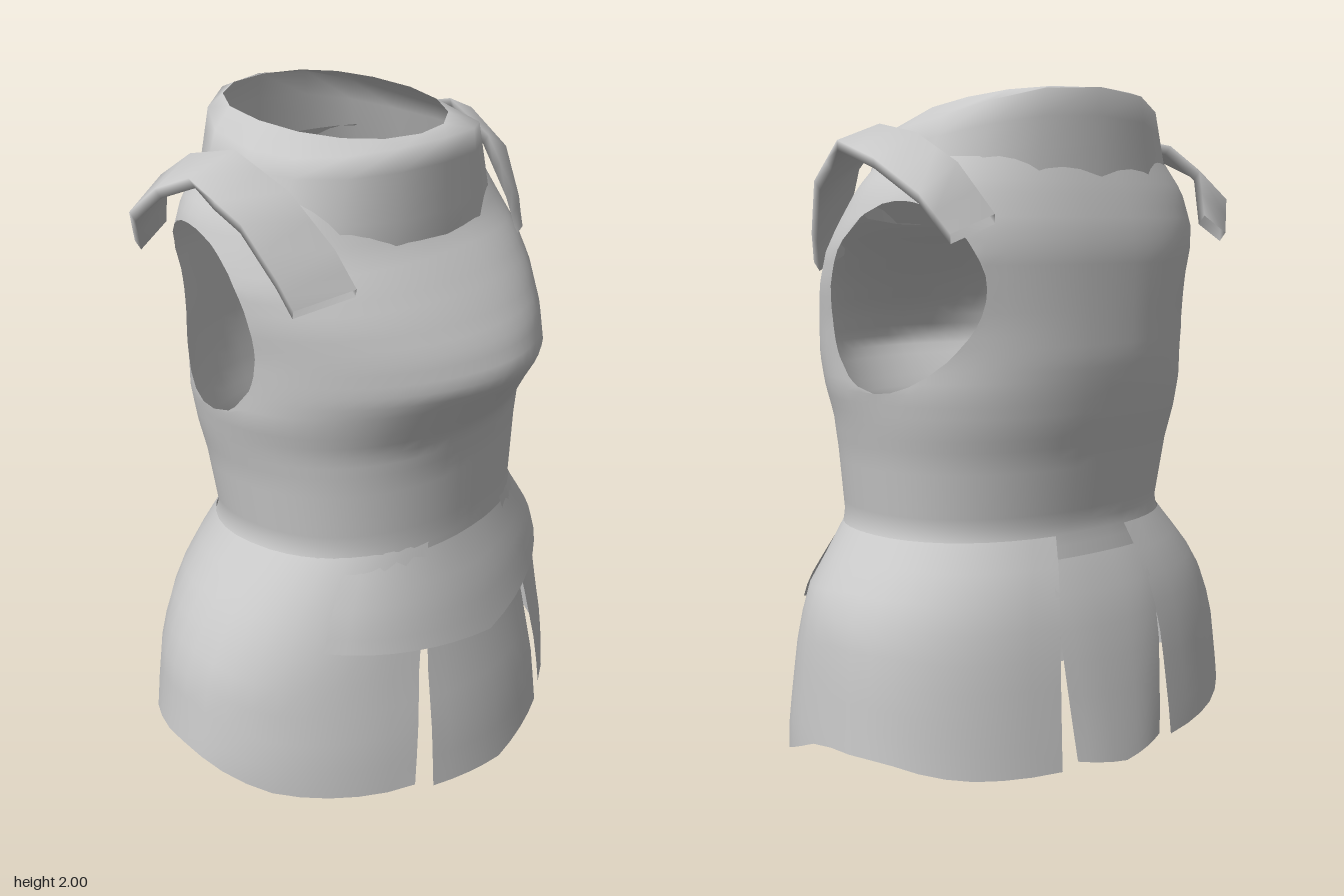
import * as THREE from 'three';
import { mergeVertices } from 'three/addons/utils/BufferGeometryUtils.js';

const armour = new THREE.MeshStandardMaterial({ color: 0xc8c8c8, side: THREE.DoubleSide });
armour.name = 'grey armour';

// Piecewise-linear lookup in rows [key, a, b, ...] with ascending keys
function lookup(rows, k) {
  if (k <= rows[0][0]) return rows[0].slice(1);
  for (let i = 1; i < rows.length; i++) {
    const a = rows[i - 1], b = rows[i];
    if (k <= b[0]) {
      const t = (k - a[0]) / (b[0] - a[0]);
      return a.slice(1).map((v, j) => v + (b[j + 1] - v) * t);
    }
  }
  return rows[rows.length - 1].slice(1);
}

const mix = (a, b, t) => a + (b - a) * t;
const BACK_N = 2.3;

// Point of a rounded section; angle 0 is the front, PI the back.
// n is the squareness of the front half; the back half uses BACK_N.
function ring([cx, hw, front, back, n], angle, y, offset = 0) {
  const c = Math.cos(angle), e = 2 / (c > 0 ? n : BACK_N);
  const p = v => Math.sign(v) * Math.abs(v) ** e;
  return [cx + (hw + offset) * p(Math.sin(angle)), y,
    (front + back) / 2 + ((front - back) / 2 + offset) * p(c)];
}

// Surface from fn(u, v); skip removes cells whose corners are all inside a hole
function patch(name, nu, nv, fn, skip) {
  const pos = [], idx = [], cut = [];
  for (let j = 0; j <= nv; j++) for (let i = 0; i <= nu; i++) {
    const p = fn(i / nu, j / nv);
    cut.push(skip ? skip(p) : false);
    pos.push(...p);
  }
  const tri = (...t) => { if (!t.every(k => cut[k])) idx.push(...t); };
  for (let j = 0; j < nv; j++) for (let i = 0; i < nu; i++) {
    const a = j * (nu + 1) + i, b = a + 1, c = a + nu + 1, d = c + 1;
    tri(a, b, d);
    tri(a, d, c);
  }
  let geo = new THREE.BufferGeometry();
  geo.setAttribute('position', new THREE.Float32BufferAttribute(pos, 3));
  geo.setIndex(idx);
  geo = mergeVertices(geo, 1e-4);
  geo.computeVertexNormals();
  const mesh = new THREE.Mesh(geo, armour);
  mesh.name = name;
  return mesh;
}

// Sections: height, centre x, half width, front z, back z, front squareness
const TORSO = [
  [0.5, 0.03, 0.66, 0.435, -0.43, 2], [0.7, 0.04, 0.54, 0.4, -0.39, 2.1],
  [0.8, 0.04, 0.495, 0.395, -0.37, 2.2], [1.0, 0.04, 0.52, 0.4, -0.4, 2.2],
  [1.1, 0.04, 0.54, 0.415, -0.425, 2.1], [1.19, 0.04, 0.56, 0.475, -0.44, 1.9],
  [1.27, 0.04, 0.56, 0.53, -0.45, 1.8], [1.37, 0.04, 0.565, 0.49, -0.45, 1.95],
  [1.47, 0.04, 0.58, 0.42, -0.45, 2.15], [1.56, 0.04, 0.585, 0.345, -0.45, 2.3],
  [1.63, 0.04, 0.57, 0.28, -0.44, 2.4], [1.73, 0.035, 0.53, 0.22, -0.41, 2.4],
  [1.81, 0.035, 0.46, 0.18, -0.38, 2.4],
];
const SKIRT = [
  [0, 0, 0.735, 0.53, -0.52, 2], [0.22, 0, 0.735, 0.505, -0.5, 2],
  [0.45, 0.01, 0.71, 0.46, -0.475, 2], [0.6, 0.04, 0.66, 0.435, -0.45, 2],
  [0.7, 0.04, 0.575, 0.41, -0.415, 2.1], [0.77, 0.04, 0.505, 0.395, -0.38, 2.2],
];
// Hem height along z
const HEM = [[-0.5, 0.15], [-0.4, 0.17], [-0.25, 0.22], [-0.03, 0.225], [0.2, 0.13], [0.43, 0.07]];

// Skirt section, with front and back middles kept in line with the torso
function skirt(angle, y, offset = 0) {
  const s = lookup(SKIRT, y);
  s[0] = mix(s[0], 0.04, Math.abs(Math.cos(angle)));
  return ring(s, angle, y, offset);
}

function makeTorso() {
  // Armhole centre leans: lower at the front, higher at the back
  const hole = { z: -0.15, ry: 0.25, rz: 0.22 };
  const holeY = z => 1.44 - 0.22 * (z - hole.z);
  // Points inside an armhole slide out to its rim, staying on the surface
  const skip = p => {
    const dy = (p[1] - holeY(p[2])) / hole.ry, dz = (p[2] - hole.z) / hole.rz;
    const r = Math.hypot(dy, dz);
    if (r >= 1 || Math.abs(p[0] - 0.04) < 0.3) return false;
    const k = 1 / Math.max(r, 0.01), side = Math.sign(p[0] - 0.04);
    p[2] = hole.z + dz * k * hole.rz;
    p[1] = holeY(p[2]) + dy * k * hole.ry;
    const [cx, hw, f, b, frontN] = lookup(TORSO, p[1]);
    const q = (p[2] - (f + b) / 2) / ((f - b) / 2), n = q > 0 ? frontN : BACK_N;
    p[0] = cx + side * hw * (1 - Math.min(1, Math.abs(q)) ** n) ** (1 / n);
    return true;
  };
  return patch('torso', 56, 42, (u, v) => {
    const y = mix(0.5, 1.81, v);
    return ring(lookup(TORSO, y), Math.PI * (1 + 2 * u), y);
  }, skip);
}

// Standing collar: flared wall, then a bevelled lip around the neck opening
function makeCollar() {
  const profile = [
    [0, 0.035, 0.5, 0.29, -0.4, 2.1], [0.8, 0.035, 0.42, 0.28, -0.39, 2.1],
    [1, 0.035, 0.34, 0.195, -0.375, 2.1],
  ];
  return patch('collar', 16, 5, (u, v) => {
    const a = Math.PI * (1 + 2 * u), c = Math.cos(a);
    const top = 1.947 - 0.053 * c, low = 1.7 - 0.07 * Math.max(0, c);
    const edge = top - 0.06 * Math.sin(a) ** 2;
    const y = v < 0.8 ? mix(low, edge, v / 0.8) : mix(edge, top, (v - 0.8) / 0.2);
    return ring(lookup(profile, v), a, y);
  });
}

// Raised band over a shoulder: inner and outer edge from front to back
function makeStrap(side) {
  const edges = [
    [0.4, 1.57, 0.29, 0.545, 1.53, 0.2], [0.42, 1.67, 0.235, 0.57, 1.61, 0.17],
    [0.46, 1.81, 0.12, 0.61, 1.75, 0.09], [0.485, 1.9, -0.04, 0.635, 1.85, -0.06],
    [0.485, 1.87, -0.2, 0.62, 1.8, -0.2], [0.46, 1.79, -0.34, 0.585, 1.71, -0.34],
    [0.4, 1.66, -0.415, 0.525, 1.61, -0.39],
  ].map((e, i) => [i / 6, ...e]);
  return patch(side > 0 ? 'leftShoulderStrap' : 'rightShoulderStrap', 4, 12, (u, v) => {
    const [ax, ay, az, bx, by, bz] = lookup(edges, v);
    // The cross-section is a closed thin slab
    const w = u === 0.5 || u === 0.25 ? 1 : 0, drop = u === 0.5 || u === 0.75 ? 0.025 : 0;
    return [0.03 + side * (mix(ax, bx, w) - drop * 0.4), mix(ay, by, w) - drop,
      mix(az, bz, w) - drop * (v < 0.5 ? 0.5 : -0.5)];
  });
}

export function createModel() {
  const model = new THREE.Group();
  model.name = 'bodyArmour';
  model.add(makeTorso(), makeCollar());

  // Belt with a drooping front edge
  model.add(patch('belt', 16, 6, (u, v) => {
    const a = mix(-0.9, 0.9, u);
    const y = mix(0.76, 0.44 + 0.12 * Math.abs(a), v);
    return skirt(a, y, 0.018 * v);
  }));

  // Front skirt panel
  model.add(patch('frontSkirtPanel', 8, 6, (u, v) => {
    const s = u * 2 - 1, y = mix(0.6, 0.04 * Math.abs(s), v);
    return skirt(s * mix(0.355, 0.4, v), y);
  }));

  // Back skirt panel, tapering to a blunt tip
  model.add(patch('backSkirtPanel', 8, 6, (u, v) => {
    const s = u * 2 - 1, y = mix(0.72, 0.14 + 0.03 * Math.abs(s), v);
    const p = skirt(Math.PI - s * mix(0.26, 0.18, v), y);
    p[2] -= 0.02 * v * (1 - s * s);
    return p;
  }));

  for (const side of [1, -1]) {
    model.add(makeStrap(side));
    // Side skirt panel wrapping from front slit to back slit
    model.add(patch(side > 0 ? 'leftSkirtPanel' : 'rightSkirtPanel', 18, 8, (u, v) => {
      const a = mix(mix(0.34, 0.49, v), Math.PI - mix(0.22, 0.25, v), u);
      const z = ring([0, 0.7, 0.5, -0.5, 2], a, 0)[2];
      return skirt(side * a, mix(0.78, lookup(HEM, z)[0], v));
    }));
  }
  return model;
}
